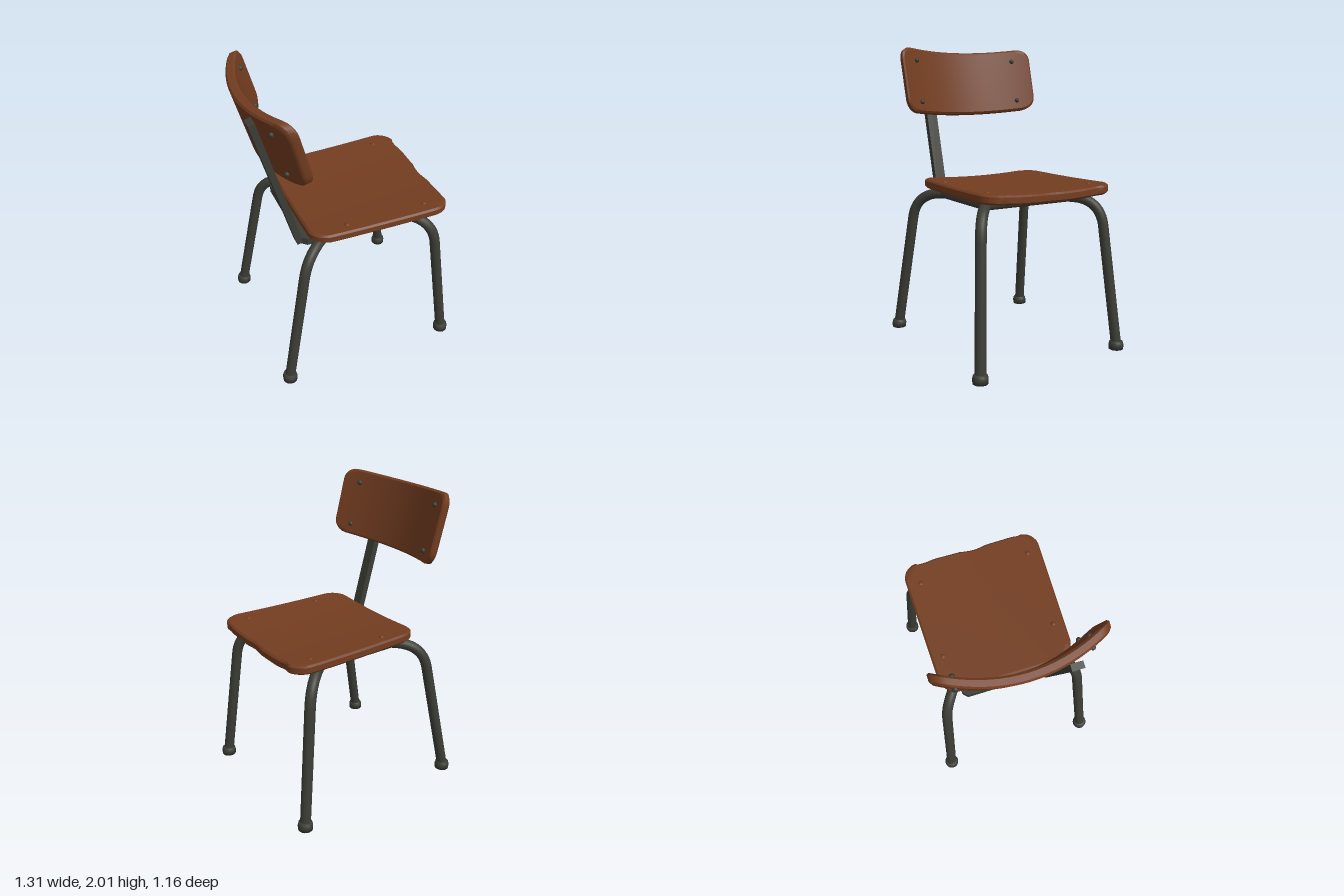
import * as THREE from 'three';
import { mergeVertices, toCreasedNormals } from 'three/addons/utils/BufferGeometryUtils.js';

const wood = new THREE.MeshStandardMaterial({ color: 0x733d20 });
wood.name = 'brown wood';
const metal = new THREE.MeshStandardMaterial({ color: 0x3b3d35 });
metal.name = 'dark grey metal';

const V = (x, y, z) => new THREE.Vector3(x, y, z);

// Rounded board lying flat, softened along its edges, then bent by a rule on each vertex.
function board(width, thick, depth, radius, rule) {
  let geo = new THREE.BoxGeometry(width, thick, depth, 32, 3, 24);
  geo.deleteAttribute('uv');
  geo.deleteAttribute('normal');
  geo = mergeVertices(geo);
  const p = geo.attributes.position, W = width / 2, D = depth / 2, v = new THREE.Vector3();
  for (let i = 0; i < p.count; i++) {
    v.fromBufferAttribute(p, i);
    v.x = W * Math.sin((Math.PI / 2) * v.x / W);
    // rounded corners
    const over = Math.max(0, Math.abs(v.x) - W + radius);
    v.z *= (D - radius + Math.sqrt(Math.max(0, radius * radius - over * over))) / D;
    // softened edges
    if (Math.abs(v.y) > thick * 0.4) {
      v.x *= 1 - 0.012 / W;
      v.z *= 1 - 0.012 / D;
    } else v.y *= 1.8;
    rule(v);
    p.setXYZ(i, v.x, v.y, v.z);
  }
  return toCreasedNormals(geo, 0.7);
}

export function createModel() {
  const group = new THREE.Group();
  const add = (name, geo, mat, parent = group) => {
    const mesh = new THREE.Mesh(geo, mat);
    mesh.name = name;
    parent.add(mesh);
    return mesh;
  };

  // Seat: wider at the front, gently dished, worn front edge
  const seat = board(0.96, 0.06, 0.94, 0.12, (v) => {
    if (v.x > 0.44) v.x -= 0.012 * Math.max(0, Math.sin(v.z * 17 + 1)) * (Math.abs(v.z) < 0.36 ? 1 : 0);
    v.z *= 1 + 0.033 * v.x / 0.48;
    v.y += 0.1 * v.z * v.z + 0.03 * v.x * v.x;
    v.x += 0.14;
    v.y += 1.068;
  });
  add('seat', seat, wood);
  for (const x of [-0.09, 0.46]) for (const z of [-0.385, 0.385]) {
    const rivet = add('seatRivet', new THREE.SphereGeometry(0.018, 12, 8), wood);
    rivet.position.set(x, 1.112, z);
    rivet.scale.y = 0.7;
  }

  // Backrest: curved board tilted backwards
  const back = new THREE.Group();
  back.name = 'backrest';
  back.position.set(-0.56, 1.755, 0);
  back.rotation.z = 0.265;
  group.add(back);
  const bend = (z) => 0.55 * z * z;
  add('backrestBoard', board(1.03, 0.062, 0.455, 0.085, (v) => {
    const z = v.x * (1 + 0.02 * v.z);
    v.set(v.y + bend(z), v.z, z);
  }), wood, back);
  for (const y of [-0.155, 0.14]) for (const z of [-0.39, 0.39]) for (const side of [-1, 1]) {
    const rivet = add('backrestRivet', new THREE.SphereGeometry(0.017, 12, 8), metal, back);
    rivet.position.set(bend(z) + side * 0.034, y, z);
  }

  // Single flat post on the left, holding the backrest
  const post = add('backPost', new THREE.BoxGeometry(0.042, 0.98, 0.075), metal);
  post.position.set(-0.506, 1.465, 0.268);
  post.rotation.z = 0.265;

  // Splayed legs with bent tops and rubber feet
  const footShape = [[0, 0], [0.049, 0], [0.05, 0.03], [0.045, 0.05], [0.034, 0.058], [0, 0.06]]
    .map(([r, y]) => new THREE.Vector2(r, y));
  const legs = [
    { name: 'front', foot: 0.61, knee: 0.52, bend: 0.495, top: 0.35 },
    { name: 'rear', foot: -0.572, knee: -0.42, bend: -0.385, top: -0.23 },
  ];
  for (const leg of legs) for (const s of [-1, 1]) {
    const path = new THREE.CurvePath();
    const knee = V(leg.knee, 0.84, 0.468 * s), end = V(leg.top, 1.015, 0.33 * s);
    path.add(new THREE.LineCurve3(V(leg.foot, 0.03, 0.528 * s), knee));
    path.add(new THREE.QuadraticBezierCurve3(knee, V(leg.bend, 1.015, 0.452 * s), end));
    add(leg.name + 'Leg', new THREE.TubeGeometry(path, 48, 0.035, 14), metal);
    add(leg.name + 'Foot', new THREE.LatheGeometry(footShape, 18), metal)
      .position.set(leg.foot, 0, 0.528 * s);
    add('frameCorner', new THREE.SphereGeometry(0.035, 14, 10), metal).position.copy(end);
  }

  // Frame under the seat
  const rail = (name, a, b) =>
    add(name, new THREE.TubeGeometry(new THREE.LineCurve3(a, b), 1, 0.028, 12), metal);
  for (const s of [-1, 1]) rail('sideRail', V(-0.23, 1.013, 0.33 * s), V(0.35, 1.013, 0.33 * s));
  for (const x of [-0.23, 0.35]) rail('crossRail', V(x, 1.013, -0.33), V(x, 1.013, 0.33));
  add('underPlate', new THREE.BoxGeometry(0.66, 0.018, 0.72), metal).position.set(0.06, 1.033, 0);

  // Rear bar with cut corners, carrying the post
  const bar = new THREE.Shape([[-0.23, -0.33], [-0.34, -0.33], [-0.372, -0.3], [-0.372, 0.3], [-0.34, 0.33], [-0.23, 0.33]]
    .map(([x, z]) => new THREE.Vector2(x, -z)));
  const barGeo = new THREE.ExtrudeGeometry(bar, { depth: 0.05, bevelEnabled: false });
  barGeo.rotateX(-Math.PI / 2);
  add('rearBar', barGeo, metal).position.y = 0.986;

  return group;
}
